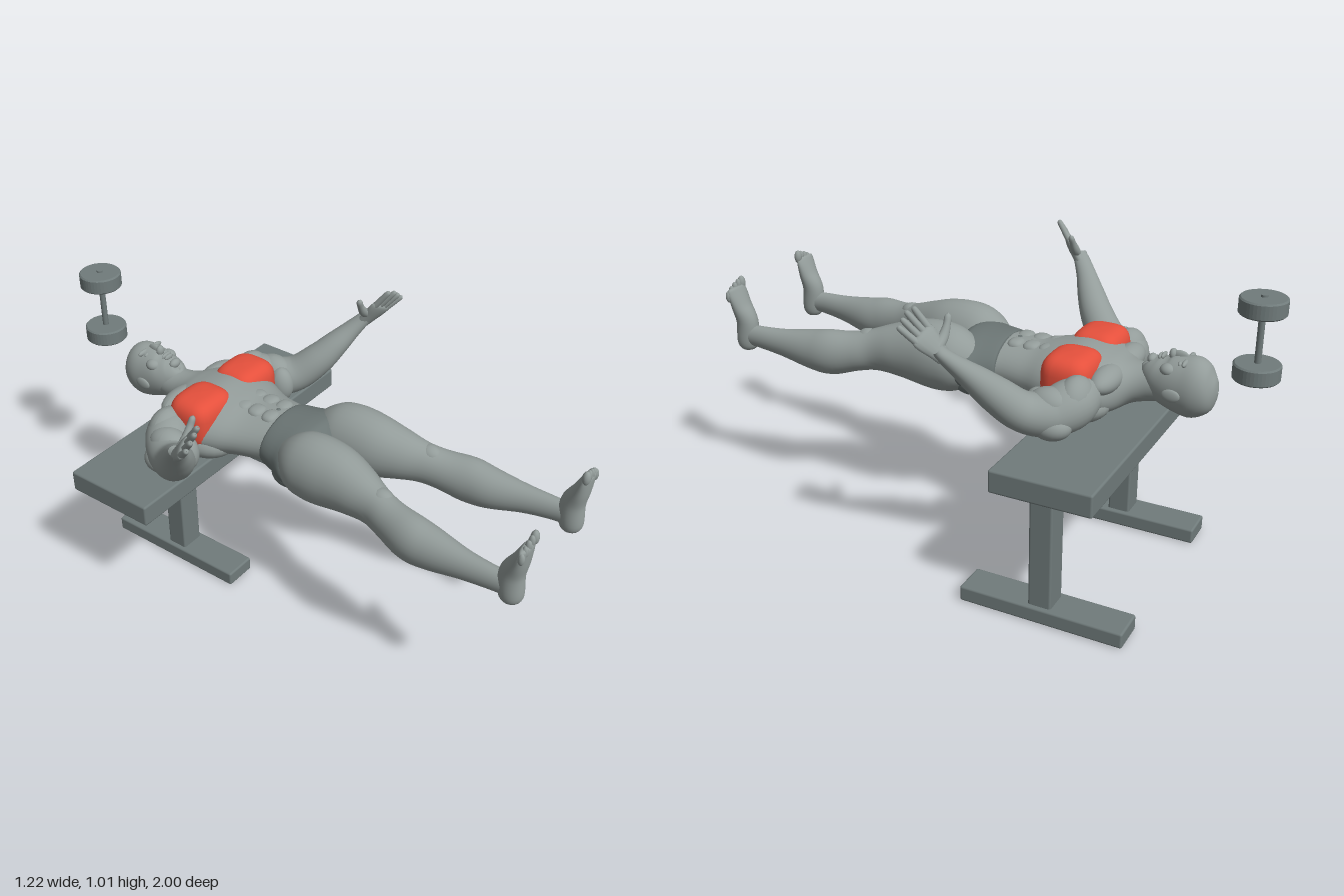
import * as THREE from 'three';
import { RoundedBoxGeometry } from 'three/addons/geometries/RoundedBoxGeometry.js';

const V = (x, y, z) => new THREE.Vector3(x, y, z);

function material(name, color) {
  const m = new THREE.MeshStandardMaterial({ color });
  m.name = name;
  return m;
}

// Smooth skin through elliptical stations [x, y, z, halfWidth, halfHeight]; ref points along the height
function loft(stations, ref, segments = 28, steps = 5) {
  const path = new THREE.CatmullRomCurve3(stations.map(s => V(s[0], s[1], s[2])), false, 'catmullrom', 0.5);
  const size = new THREE.CatmullRomCurve3(stations.map(s => V(s[3], s[4], 0)), false, 'catmullrom', 0.5);
  const rows = (stations.length - 1) * steps;
  const pos = [], index = [];
  for (let i = 0; i <= rows; i++) {
    const p = path.getPoint(i / rows), r = size.getPoint(i / rows), t = path.getTangent(i / rows);
    const side = t.clone().cross(ref).normalize(), up = side.clone().cross(t);
    for (let j = 0; j < segments; j++) {
      const a = j / segments * Math.PI * 2;
      const q = p.clone().addScaledVector(side, Math.cos(a) * Math.max(r.x, 0.001))
        .addScaledVector(up, Math.sin(a) * Math.max(r.y, 0.001));
      pos.push(q.x, q.y, q.z);
      if (i < rows) {
        const k = (j + 1) % segments, b = i * segments, c = b + segments;
        index.push(b + j, c + j, b + k, b + k, c + j, c + k);
      }
    }
  }
  const g = new THREE.BufferGeometry();
  g.setAttribute('position', new THREE.Float32BufferAttribute(pos, 3));
  g.setIndex(index);
  g.computeVertexNormals();
  return g;
}

// Ellipsoid; power below 1 squares it off
function blob(rx, ry, rz, power = 1) {
  const g = new THREE.SphereGeometry(1, 28, 18), p = g.attributes.position;
  const f = v => Math.sign(v) * Math.abs(v) ** power;
  for (let i = 0; i < p.count; i++) p.setXYZ(i, f(p.getX(i)) * rx, f(p.getY(i)) * ry, f(p.getZ(i)) * rz);
  g.computeVertexNormals();
  return g;
}

export function createModel() {
  const root = new THREE.Group();
  const skin = material('body grey', 0x939c9a);
  const dark = material('shorts grey', 0x6b7574);
  const steel = material('equipment grey', 0x707b7b);
  const red = material('muscle red', 0xe5503c);
  const Y = V(0, 1, 0), Z = V(0, 0, 1);

  const add = (name, geo, mat, x = 0, y = 0, z = 0) => {
    const m = new THREE.Mesh(geo, mat);
    m.name = name;
    m.position.set(x, y, z);
    root.add(m);
    return m;
  };
  const box = (name, x0, x1, y0, y1, z0, z1) =>
    add(name, new RoundedBoxGeometry(x1 - x0, y1 - y0, z1 - z0, 2, 0.008), steel,
      (x0 + x1) / 2, (y0 + y1) / 2, (z0 + z1) / 2);

  // Bench
  box('benchTop', -0.52, 0.59, 0.44, 0.52, -0.62, -0.27);
  for (const x of [-0.16, 0.518]) {
    box('benchPost', x - 0.045, x + 0.045, 0.04, 0.45, -0.48, -0.4);
    box('benchFoot', x - 0.061, x + 0.061, 0, 0.055, -0.73, -0.16);
  }

  // Dumbbell standing on end behind the head
  const disc = [[0, -0.028], [0.072, -0.028], [0.077, -0.023], [0.077, 0.023], [0.072, 0.028], [0, 0.028]];
  for (const y of [0.752, 0.972]) {
    const g = new THREE.LatheGeometry(disc.map(p => new THREE.Vector2(...p)), 40).toNonIndexed();
    g.computeVertexNormals();
    add('dumbbellWeight', g, steel, -0.003, y, -0.92);
  }
  add('dumbbellBar', new THREE.CylinderGeometry(0.011, 0.011, 0.29, 20), steel, -0.003, 0.862, -0.92);

  // Neck and torso
  add('torso', loft([
    [0, 0.65, -0.62, 0.06, 0.06], [0, 0.64, -0.55, 0.068, 0.066], [0, 0.635, -0.505, 0.1, 0.075],
    [0, 0.63, -0.46, 0.185, 0.093], [0, 0.625, -0.4, 0.23, 0.112], [0, 0.622, -0.33, 0.23, 0.122],
    [0, 0.62, -0.25, 0.2, 0.112], [0, 0.62, -0.17, 0.165, 0.098], [0, 0.625, -0.07, 0.143, 0.093],
    [0, 0.625, 0, 0.15, 0.09]], Y, 40), skin);

  // Shorts
  add('shorts', loft([
    [0, 0.625, -0.062, 0.139, 0.09], [0, 0.625, -0.06, 0.149, 0.098], [0, 0.622, 0, 0.17, 0.105],
    [0, 0.62, 0.06, 0.198, 0.108], [0, 0.62, 0.1, 0.16, 0.1], [0, 0.62, 0.14, 0.02, 0.06]], Y, 40), dark);

  // Head, from chin to crown, with the face upward
  add('head', loft([
    [0, 0.712, -0.553, 0.004, 0.004], [0, 0.708, -0.557, 0.03, 0.032], [0, 0.692, -0.58, 0.054, 0.06],
    [0, 0.672, -0.62, 0.071, 0.086], [0, 0.66, -0.68, 0.079, 0.102], [0, 0.655, -0.73, 0.081, 0.106],
    [0, 0.652, -0.77, 0.067, 0.084], [0, 0.652, -0.795, 0.035, 0.045], [0, 0.652, -0.804, 0, 0]], Y, 32), skin);
  add('noseBridge', blob(0.01, 0.018, 0.032), skin, 0, 0.757, -0.668);
  add('noseTip', blob(0.017, 0.02, 0.013), skin, 0, 0.758, -0.645);
  add('upperLip', blob(0.025, 0.01, 0.007), skin, 0, 0.749, -0.615);
  add('lowerLip', blob(0.021, 0.01, 0.007), skin, 0, 0.745, -0.604);
  add('chin', blob(0.024, 0.017, 0.016), skin, 0, 0.729, -0.575);
  add('navel', blob(0.007, 0.004, 0.009), dark, 0, 0.717, -0.09);

  for (const s of [1, -1]) {
    const pos = list => list.map(([x, ...rest]) => [s * x, ...rest]);
    const lump = (name, mat, x, y, z, rx, ry, rz, power) => add(name, blob(rx, ry, rz, power), mat, s * x, y, z);

    // Face details
    lump('brow', skin, 0.033, 0.747, -0.698, 0.028, 0.011, 0.009);
    lump('eye', skin, 0.032, 0.742, -0.681, 0.015, 0.009, 0.008);
    lump('cheek', skin, 0.043, 0.718, -0.645, 0.026, 0.022, 0.028);
    lump('ear', skin, 0.081, 0.645, -0.67, 0.009, 0.022, 0.032);

    // Chest, collar, abdomen and back muscles
    lump('chestMuscle', red, 0.121, 0.66, -0.342, 0.106, 0.097, 0.092, 0.6);
    lump('collarMuscle', skin, 0.1, 0.67, -0.455, 0.1, 0.045, 0.05);
    for (const [z, r] of [[-0.215, 0.034], [-0.155, 0.032], [-0.095, 0.03]])
      lump('abdominal', skin, 0.038, 0.7, z, 0.036, 0.024, r, 0.8);
    lump('backMuscle', skin, 0.13, 0.58, -0.34, 0.1, 0.07, 0.14);
    lump('buttock', dark, 0.085, 0.575, 0.045, 0.088, 0.066, 0.08);

    // Leg
    add('leg', loft(pos([
      [0.1, 0.62, 0.02, 0.06, 0.07], [0.107, 0.63, 0.09, 0.1, 0.112], [0.111, 0.638, 0.16, 0.107, 0.126],
      [0.115, 0.64, 0.25, 0.1, 0.118], [0.13, 0.635, 0.34, 0.082, 0.095], [0.148, 0.625, 0.42, 0.062, 0.077],
      [0.167, 0.613, 0.49, 0.063, 0.074], [0.187, 0.6, 0.58, 0.07, 0.084], [0.192, 0.597, 0.66, 0.065, 0.075],
      [0.202, 0.603, 0.78, 0.044, 0.053], [0.207, 0.608, 0.88, 0.033, 0.043],
      [0.207, 0.61, 0.95, 0.03, 0.04]]), Y), skin);
    lump('kneecap', skin, 0.15, 0.67, 0.44, 0.035, 0.032, 0.045);

    // Foot with the sole facing forward and the toes up
    add('foot', loft(pos([
      [0.207, 0.548, 0.952, 0.002, 0.002], [0.207, 0.555, 0.952, 0.025, 0.028], [0.207, 0.585, 0.95, 0.036, 0.042],
      [0.207, 0.66, 0.945, 0.037, 0.042], [0.208, 0.72, 0.964, 0.044, 0.03], [0.21, 0.77, 0.977, 0.048, 0.019],
      [0.21, 0.79, 0.981, 0.04, 0.012], [0.21, 0.795, 0.982, 0, 0]]), Z), skin);
    for (let i = 0; i < 5; i++)
      lump('toe', skin, 0.174 + i * 0.0195, 0.797 - i * i * 0.002, 0.984,
        i ? 0.01 : 0.015, i ? 0.022 : 0.026, i ? 0.011 : 0.014);

    // Arm with bulging shoulder and upper arm
    add('arm', loft(pos([
      [0.17, 0.635, -0.42, 0.06, 0.065], [0.24, 0.625, -0.395, 0.082, 0.085], [0.3, 0.605, -0.345, 0.08, 0.078],
      [0.355, 0.62, -0.275, 0.07, 0.068], [0.405, 0.682, -0.21, 0.062, 0.06], [0.45, 0.74, -0.165, 0.052, 0.048],
      [0.495, 0.795, -0.125, 0.039, 0.034], [0.527, 0.838, -0.092, 0.032, 0.025],
      [0.54, 0.865, -0.072, 0.03, 0.02]]), Y), skin);
    lump('shoulder', skin, 0.235, 0.635, -0.405, 0.085, 0.085, 0.062);
    lump('biceps', skin, 0.3, 0.64, -0.345, 0.058, 0.055, 0.075);
    lump('triceps', skin, 0.32, 0.575, -0.36, 0.06, 0.05, 0.07);
    lump('innerUpperArm', skin, 0.275, 0.605, -0.29, 0.045, 0.07, 0.05);

    // Hand: palm, four spread fingers and thumb
    const d = V(0.25, 0.74, 0.62).normalize(), w = V(-0.85, 0.45, -0.2).normalize();
    const k = V(0.548, 0.905, -0.028), n = d.clone().cross(w);
    const at = (a, b) => k.clone().addScaledVector(w, a).addScaledVector(d, b);
    const mirror = v => V(s * v.x, v.y, v.z);
    const tube = (name, rows) => add(name, loft(rows.map(([p, a, b]) => [s * p.x, p.y, p.z, a, b]),
      mirror(n), 14, 4), skin);
    tube('palm', [[at(0, -0.1), 0.027, 0.02], [at(0, -0.065), 0.034, 0.02], [at(0, -0.02), 0.046, 0.019],
      [at(0, 0.005), 0.042, 0.014], [at(0, 0.014), 0, 0]]);
    for (let i = 0; i < 4; i++) {
      const a = i - 1.5, len = 0.09 - Math.abs(a - 0.4) * 0.008;
      tube('finger', [[at(a * 0.02, -0.015), 0.012, 0.012], [at(a * 0.024, len * 0.45), 0.011, 0.011],
        [at(a * 0.027, len * 0.9), 0.009, 0.009], [at(a * 0.028, len), 0, 0]]);
    }
    tube('thumb', [[V(0.53, 0.865, -0.07), 0.018, 0.016], [V(0.497, 0.89, -0.072), 0.017, 0.015],
      [V(0.475, 0.922, -0.072), 0.012, 0.012], [V(0.464, 0.945, -0.07), 0.011, 0.01],
      [V(0.461, 0.955, -0.069), 0, 0]]);
  }
  return root;
}
